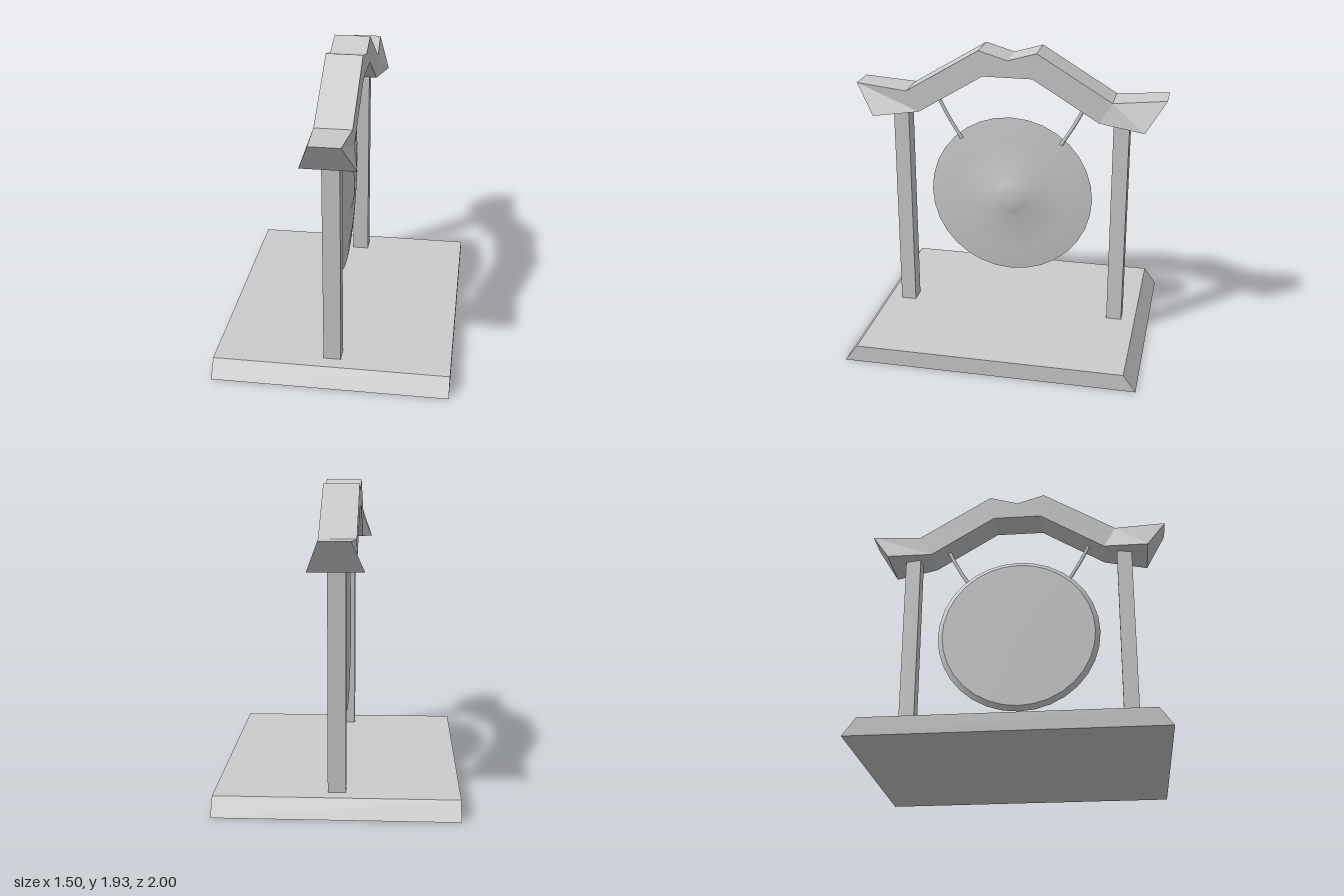
import * as THREE from 'three';
import { toCreasedNormals } from 'three/addons/utils/BufferGeometryUtils.js';

const V = (x, y, z) => new THREE.Vector3(x, y, z);

// Flat-faced solid lofted through four-cornered cross-sections.
function loft(sections) {
  const pos = [];
  const quad = (a, b, c, d) => [a, b, c, a, c, d].forEach(p => pos.push(p.x, p.y, p.z));
  for (let i = 0; i < sections.length - 1; i++) {
    const s = sections[i], t = sections[i + 1];
    for (let k = 0; k < 4; k++) {
      const n = (k + 1) % 4;
      quad(s[k], s[n], t[n], t[k]);
    }
  }
  const first = sections[0], last = sections[sections.length - 1];
  quad(first[3], first[2], first[1], first[0]);
  quad(last[0], last[1], last[2], last[3]);
  const geo = new THREE.BufferGeometry();
  geo.setAttribute('position', new THREE.Float32BufferAttribute(pos, 3));
  geo.computeVertexNormals();
  return geo;
}

export function createModel() {
  const model = new THREE.Group();
  const flat = new THREE.MeshStandardMaterial({ color: 0xcccccc, flatShading: true });
  const smooth = new THREE.MeshStandardMaterial({ color: 0xcccccc });
  const add = (name, geo, mat = flat) => {
    const mesh = new THREE.Mesh(geo, mat);
    mesh.name = name;
    model.add(mesh);
    return mesh;
  };

  // Base slab with bevelled front and back ends
  const slab = new THREE.Shape([[-0.94, 0], [0.94, 0], [0.86, 0.11], [-0.86, 0.11]]
    .map(p => new THREE.Vector2(...p)));
  const base = new THREE.ExtrudeGeometry(slab, { depth: 1.5, bevelEnabled: false });
  base.translate(0, 0, -0.75).rotateY(-Math.PI / 2);
  add('base', base);

  // Two square posts
  for (const side of [1, -1]) {
    const post = add(side > 0 ? 'frontPost' : 'backPost', new THREE.BoxGeometry(0.11, 1.42, 0.1));
    post.position.set(0, 0.81, 0.72 * side);
  }

  // Roof beam: [top z, top y, top half width, bottom z, bottom y, bottom half width]
  const half = [
    [1, 1.675, 0.095, 0.875, 1.48, 0.17],
    [0.665, 1.645, 0.115, 0.585, 1.51, 0.115],
    [0.185, 1.935, 0.115, 0.16, 1.77, 0.115],
    [0, 1.88, 0.115, 0, 1.77, 0.115],
  ];
  const mirrored = half.slice(0, 3).reverse().map(([a, b, c, d, e, f]) => [-a, b, c, -d, e, f]);
  // Sections run from back (-z) to front (+z), corners counter-clockwise seen from +z
  const sections = [...half, ...mirrored].reverse().map(([tz, ty, tw, bz, by, bw]) =>
    [V(-bw, by, bz), V(bw, by, bz), V(tw, ty, tz), V(-tw, ty, tz)]);
  add('roofBeam', loft(sections));

  // Gong: flat back, rim turned back, shallow dome with a central boss
  const profile = [[0, -0.033], [0.508, -0.033], [0.54, -0.01], [0.38, 0.008],
    [0.13, 0.02], [0.1, 0.03], [0.05, 0.037], [0, 0.039]].map(p => new THREE.Vector2(...p));
  const gong = toCreasedNormals(new THREE.LatheGeometry(profile, 32), 0.5);
  gong.rotateZ(-Math.PI / 2);
  add('gong', gong, smooth).position.y = 0.93;

  // Cords from the beam to the gong
  for (const side of [1, -1]) {
    const path = new THREE.CatmullRomCurve3([
      V(0, 1.6, 0.49 * side), V(0, 1.46, 0.42 * side), V(0, 1.31, 0.33 * side)]);
    add(side > 0 ? 'frontCord' : 'backCord', new THREE.TubeGeometry(path, 8, 0.012, 8), smooth);
  }

  return model;
}
